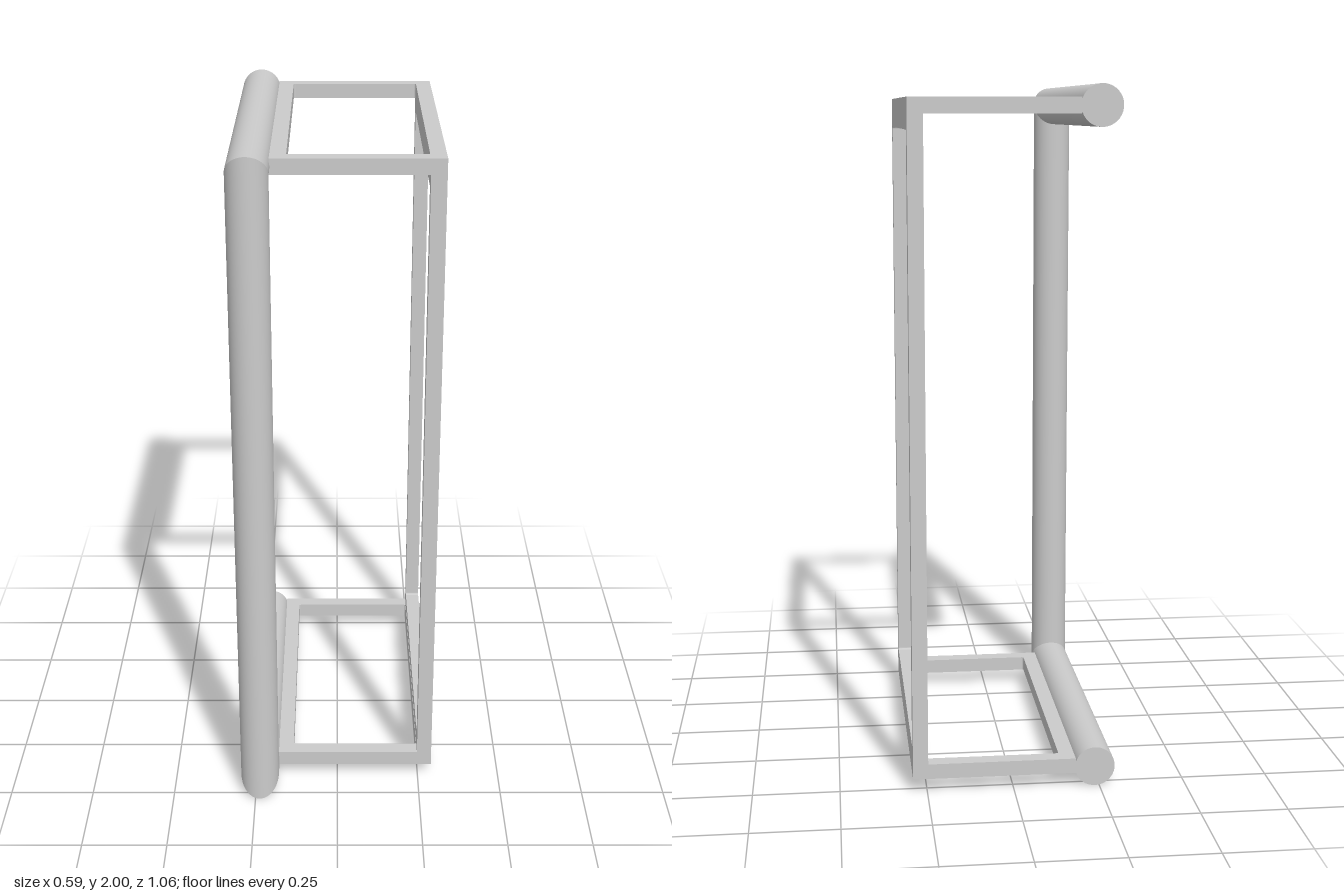
import * as THREE from 'three';

const material = new THREE.MeshStandardMaterial({ color: 0xcccccc });

const R = 0.058;               // tube radius
const TUBE_X = -0.237;         // tube centre line
const BACK = -0.53, FRONT = 0.472;
const LOW = R, HIGH = 2 - R;
const BAR = 0.044;             // frame bar thickness

function add(parent, name, geometry) {
  const mesh = new THREE.Mesh(geometry, material);
  mesh.name = name;
  parent.add(mesh);
  return mesh;
}

// Open cylinder whose ends are placed by a rule, giving mitred joints.
function mitredTube(rule) {
  const g = new THREE.CylinderGeometry(R, R, 1, 48, 1, true);
  const n = g.attributes.normal, p = g.attributes.position;
  for (let i = 0; i < p.count; i++) {
    const a = p.getX(i), b = p.getZ(i), end = p.getY(i) > 0;
    const { pos, normal } = rule(a, b, end, n.getX(i), n.getZ(i));
    p.setXYZ(i, ...pos);
    n.setXYZ(i, ...normal);
  }
  return g;
}

// Rectangular frame with a softly rounded opening, drawn in XY and extruded along z.
function frameGeometry(w, h, border) {
  const shape = new THREE.Shape();
  shape.moveTo(-w / 2, -h / 2).lineTo(w / 2, -h / 2).lineTo(w / 2, h / 2).lineTo(-w / 2, h / 2).closePath();
  const x = w / 2 - border, y = h / 2 - border, r = 0.006;
  const hole = new THREE.Path();
  hole.absarc(x - r, y - r, r, 0, Math.PI / 2);
  hole.absarc(-x + r, y - r, r, Math.PI / 2, Math.PI);
  hole.absarc(-x + r, -y + r, r, Math.PI, Math.PI * 1.5);
  hole.absarc(x - r, -y + r, r, Math.PI * 1.5, Math.PI * 2);
  hole.closePath();
  shape.holes.push(hole);
  const g = new THREE.ExtrudeGeometry(shape, { depth: BAR, bevelEnabled: false, curveSegments: 5 });
  return g.translate(0, 0, -BAR / 2);
}

export function createModel() {
  const model = new THREE.Group();
  model.name = 'tubeHandleFrame';

  // Upright tube, mitred at both ends
  const tube = new THREE.Group();
  tube.name = 'tubeHandle';
  tube.position.x = TUBE_X;
  model.add(tube);
  add(tube, 'uprightTube', mitredTube((a, b, end, na, nb) => ({
    pos: [a, end ? HIGH + b : LOW - b, FRONT + b],
    normal: [na, 0, nb],
  })));

  // Upper and lower tubes running to the back, with flat end caps
  for (const [label, y, s] of [['upper', HIGH, 1], ['lower', LOW, -1]]) {
    add(tube, label + 'Tube', mitredTube((a, b, end, na, nb) => ({
      pos: [a, y - b, end ? FRONT - s * b : BACK],
      normal: [na, -nb, 0],
    })));
    const cap = add(tube, label + 'TubeCap', new THREE.CircleGeometry(R, 48));
    cap.rotation.y = Math.PI;
    cap.position.set(0, y, BACK);
  }

  // Horizontal frames beside the upper and lower tubes
  const x0 = -0.181, x1 = 0.291, z1 = 0.409;
  const midZ = (BACK + z1) / 2, depth = z1 - BACK;
  for (const [label, y] of [['upper', HIGH], ['lower', LOW + 0.004]]) {
    const frame = add(model, label + 'Frame', frameGeometry(x1 - x0, depth, 0.045));
    frame.rotation.x = -Math.PI / 2;
    frame.position.set((x0 + x1) / 2, y, midZ);
  }

  // Upright side frame between them
  const bottom = LOW + 0.004 + BAR / 2, top = HIGH - BAR / 2;
  const side = add(model, 'sideFrame', frameGeometry(depth, top - bottom, 0.043));
  side.rotation.y = Math.PI / 2;
  side.position.set(x1 - BAR / 2, (bottom + top) / 2, midZ);

  return model;
}
